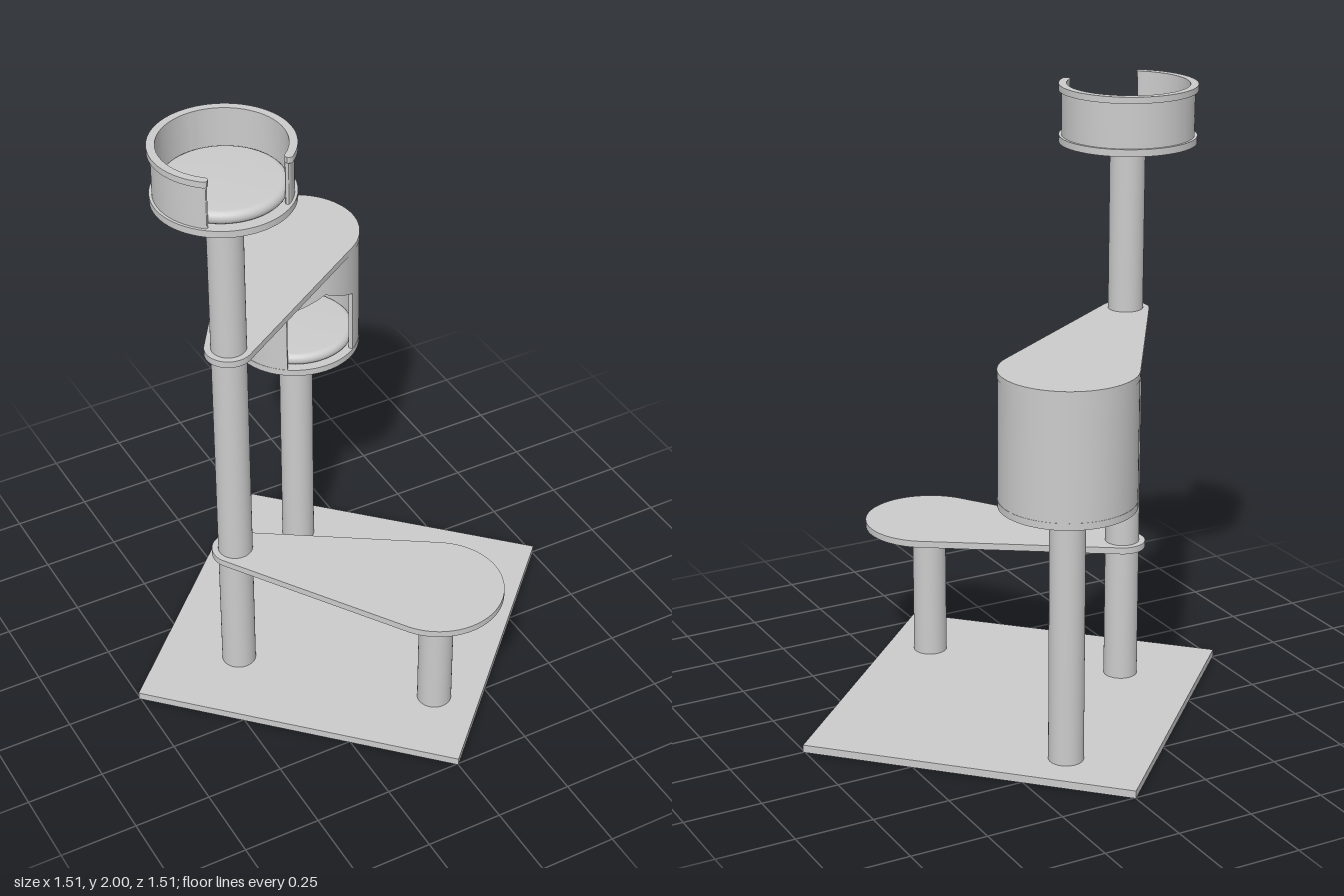
import * as THREE from 'three';
import { toCreasedNormals } from 'three/addons/utils/BufferGeometryUtils.js';

const material = new THREE.MeshStandardMaterial({ color: 0xcccccc });
const POST_R = 0.055;
const TALL = { x: -0.39, z: 0 };
const FRONT = { x: 0.078, z: 0.47 };
const BACK = { x: 0.078, z: -0.465 };

function add(parent, name, geometry, x = 0, y = 0, z = 0) {
  const mesh = new THREE.Mesh(geometry, material);
  mesh.name = name;
  mesh.position.set(x, y, z);
  parent.add(mesh);
  return mesh;
}

// Flat shape (x, -z) thickened upwards, smooth around its curves
function slab(shape, height) {
  const g = new THREE.ExtrudeGeometry(shape, { depth: height, bevelEnabled: false, curveSegments: 48 });
  g.rotateX(-Math.PI / 2);
  return toCreasedNormals(g, 0.6);
}

function disc(radius, height) {
  return new THREE.CylinderGeometry(radius, radius, height, 64).translate(0, height / 2, 0);
}

// Teardrop outline: small circle at a, large circle at b, joined by tangents
function teardrop(a, ra, b, rb) {
  const dx = b.x - a.x, dy = a.z - b.z;
  const dir = Math.atan2(dy, dx);
  const spread = Math.acos((ra - rb) / Math.hypot(dx, dy));
  const s = new THREE.Shape();
  s.absarc(b.x, -b.z, rb, dir - spread, dir + spread, false);
  s.absarc(a.x, -a.z, ra, dir + spread, dir - spread + Math.PI * 2, false);
  return s;
}

// Ring open towards the front, with rounded ends
function openRing(inner, outer, halfGap) {
  const mid = (inner + outer) / 2, cap = (outer - inner) / 2;
  const start = -Math.PI / 2 + halfGap, end = Math.PI * 1.5 - halfGap;
  const s = new THREE.Shape();
  s.absarc(0, 0, outer, start, end, false);
  s.absarc(mid * Math.cos(end), mid * Math.sin(end), cap, end, end + Math.PI, false);
  s.absarc(0, 0, inner, end, start, true);
  s.absarc(mid * Math.cos(start), mid * Math.sin(start), cap, start + Math.PI, start + Math.PI * 2, false);
  return s;
}

// Round cushion with a soft edge and slightly domed top
function cushion(radius, height) {
  const r = height / 2;
  const pts = [new THREE.Vector2(0, 0)];
  for (let i = 0; i <= 10; i++) {
    const a = -Math.PI / 2 + (Math.PI * i) / 10;
    pts.push(new THREE.Vector2(radius - r + r * Math.cos(a), r + r * Math.sin(a)));
  }
  pts.push(new THREE.Vector2(radius * 0.5, height + 0.003), new THREE.Vector2(0, height + 0.004));
  return new THREE.LatheGeometry(pts, 64);
}

// Round house wall with a gabled doorway facing +z
function houseWall(inner, outer, height, halfDoor, eaves, peak) {
  const a = Math.asin(halfDoor / outer);
  const sections = [];
  for (let i = 0; i <= 20; i++) {
    const t = -a + (2 * a * i) / 20;
    sections.push([t, peak - ((peak - eaves) * Math.abs(Math.sin(t)) * outer) / halfDoor]);
  }
  for (let i = 0; i <= 60; i++) sections.push([a + ((2 * Math.PI - 2 * a) * i) / 60, 0]);
  const pos = [], idx = [], n = sections.length;
  sections.forEach(([t, low], i) => {
    for (const [r, y] of [[outer, low], [outer, height], [inner, height], [inner, low]]) {
      pos.push(r * Math.sin(t), y, r * Math.cos(t));
    }
    const p = i * 4, q = ((i + 1) % n) * 4;
    for (let k = 0; k < 4; k++) {
      const m = (k + 1) % 4;
      idx.push(p + k, q + k, q + m, p + k, q + m, p + m);
    }
  });
  const g = new THREE.BufferGeometry();
  g.setAttribute('position', new THREE.Float32BufferAttribute(pos, 3));
  g.setIndex(idx);
  return toCreasedNormals(g, 0.6);
}

export function createModel() {
  const model = new THREE.Group();
  model.name = 'catTree';

  // Square base turned to a diamond
  const side = 0.755 * Math.SQRT2;
  add(model, 'base', new THREE.BoxGeometry(side, 0.025, side), 0, 0.0125, 0).rotation.y = Math.PI / 4;

  // Posts
  for (const [name, at, top] of [['tallPost', TALL, 1.82], ['frontPost', FRONT, 0.475], ['backPost', BACK, 0.86]]) {
    add(model, name, disc(POST_R, top - 0.025), at.x, 0.025, at.z);
  }

  // Teardrop platforms
  add(model, 'lowerPlatform', slab(teardrop(TALL, 0.075, FRONT, 0.21), 0.022), 0, 0.474, 0);
  add(model, 'upperPlatform', slab(teardrop(TALL, 0.075, BACK, 0.21), 0.022), 0, 1.262, 0);

  // House hanging below the upper platform
  const house = new THREE.Group();
  house.name = 'house';
  house.position.set(BACK.x, 0.86, BACK.z);
  add(house, 'houseFloor', disc(0.21, 0.022));
  add(house, 'houseWall', houseWall(0.194, 0.209, 0.38, 0.12, 0.22, 0.278), 0, 0.022, 0);
  add(house, 'houseCushion', cushion(0.19, 0.04), 0, 0.022, 0);
  model.add(house);

  // Open bed on top of the tall post
  const bed = new THREE.Group();
  bed.name = 'bed';
  bed.position.set(TALL.x, 1.818, TALL.z);
  add(bed, 'bedFloor', disc(0.214, 0.022));
  add(bed, 'bedWall', slab(openRing(0.19, 0.205, 0.72), 0.14), 0, 0.022, 0);
  add(bed, 'bedRim', slab(openRing(0.19, 0.215, 0.72), 0.02), 0, 0.162, 0);
  add(bed, 'bedCushion', cushion(0.19, 0.042), 0, 0.022, 0);
  model.add(bed);

  return model;
}
